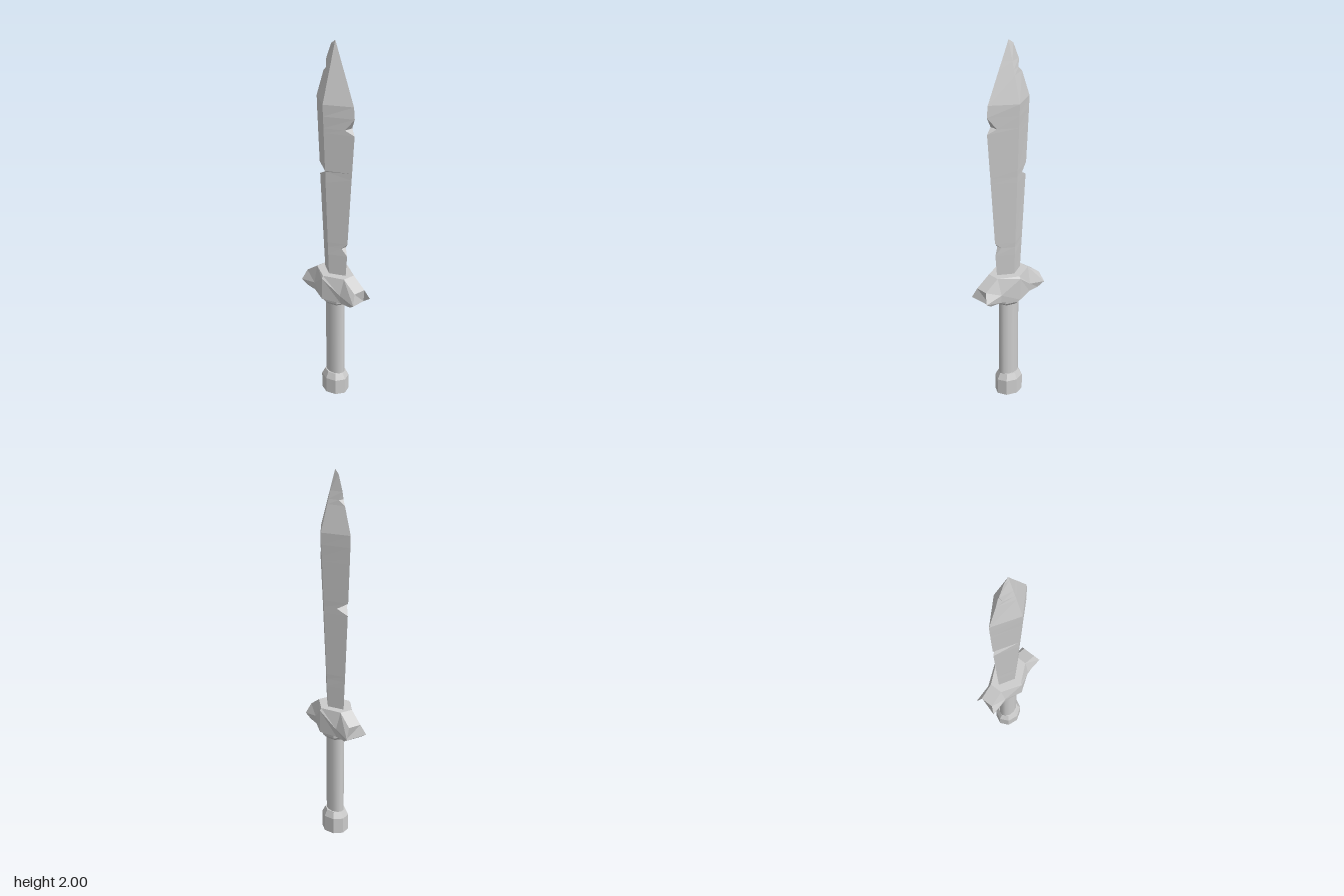
import * as THREE from 'three';

const flat = new THREE.MeshStandardMaterial({ color: 0xcccccc, flatShading: true });
const smooth = new THREE.MeshStandardMaterial({ color: 0xcccccc });

// Skins a list of rings (counter-clockwise seen from the end of the path) and caps both ends
function loft(rings) {
  const out = [];
  const area = new THREE.Triangle();
  const tri = (a, b, c) => {
    area.set(a, b, c);
    if (area.getArea() > 1e-8) for (const p of [a, b, c]) out.push(p.x, p.y, p.z);
  };
  const n = rings[0].length;
  for (let i = 0; i + 1 < rings.length; i++) {
    for (let j = 0; j < n; j++) {
      const k = (j + 1) % n;
      tri(rings[i][j], rings[i][k], rings[i + 1][k]);
      tri(rings[i][j], rings[i + 1][k], rings[i + 1][j]);
    }
  }
  const first = rings[0], last = rings[rings.length - 1];
  for (let j = 1; j + 1 < n; j++) {
    tri(first[0], first[j + 1], first[j]);
    tri(last[0], last[j], last[j + 1]);
  }
  const g = new THREE.BufferGeometry();
  g.setAttribute('position', new THREE.Float32BufferAttribute(out, 3));
  g.computeVertexNormals();
  return g;
}

// Diamond blade section; cuts pull an edge inwards and leave a flat there
function bladeRing({ y, x, front, back, cutFront = front, cutBack = back, cutBackFar = cutBack, farY = y }) {
  const flatAt = (cut, edge) => (edge > 0 ? x * (1 - cut / edge) : 0);
  const v = (px, py, pz) => new THREE.Vector3(px, py, pz);
  const f = flatAt(cutFront, front);
  return [
    v(f, y, cutFront), v(x, y, 0), v(flatAt(cutBack, back), y, -cutBack),
    v(-flatAt(cutBackFar, back), farY, -cutBackFar), v(-x, farY, 0), v(-f, y, cutFront),
  ];
}

function makeBlade() {
  return loft([
    { y: 0.74, x: 0.044, front: 0.079, back: 0.078 },
    { y: 0.77, x: 0.045, front: 0.08, back: 0.08 },
    { y: 0.885, x: 0.05, front: 0.09, back: 0.088 },
    { y: 0.927, x: 0.051, front: 0.09, back: 0.091, cutFront: 0.064 },
    { y: 0.955, x: 0.053, front: 0.092, back: 0.093 },
    { y: 1.29, x: 0.066, front: 0.117, back: 0.115 },
    { y: 1.32, x: 0.067, front: 0.119, back: 0.116, cutBack: 0.063, cutBackFar: 0.002, farY: 1.35 },
    { y: 1.355, x: 0.069, front: 0.122, back: 0.118 },
    { y: 1.555, x: 0.077, front: 0.138, back: 0.13 },
    { y: 1.58, x: 0.078, front: 0.138, back: 0.131, cutFront: 0.095 },
    { y: 1.64, x: 0.081, front: 0.138, back: 0.135 },
    { y: 1.7, x: 0.083, front: 0.132, back: 0.137 },
    { y: 1.835, x: 0.046, front: 0.073, back: 0.086 },
    { y: 1.86, x: 0.039, front: 0.062, back: 0.08, cutBack: 0.053 },
    { y: 1.9, x: 0.028, front: 0.044, back: 0.065 },
    { y: 1.98, x: 0.006, front: 0.009, back: 0.03 },
    { y: 2, x: 0, front: 0, back: 0 },
  ].map(bladeRing));
}

// Guard sections: bottom, middle and top corner as [x, y, z], mirrored in x and z
function makeGuard() {
  const end = [[0.05, 0.635, 0.165], [0.06, 0.66, 0.202], [0.035, 0.715, 0.185]];
  const shoulder = [[0.055, 0.635, 0.1], [0.06, 0.68, 0.1], [0.035, 0.77, 0.105]];
  const middle = [[0.095, 0.635, 0], [0.095, 0.757, 0], [0.087, 0.77, 0]];
  const ring = (corners, side) => [
    ...corners.map(([x, y, z]) => new THREE.Vector3(x, y, z * side)),
    ...corners.map(([x, y, z]) => new THREE.Vector3(-x, y, z * side)).reverse(),
  ];
  return loft([ring(end, -1), ring(shoulder, -1), ring(middle, 1), ring(shoulder, 1), ring(end, 1)]);
}

// Turned part with an oval section: profile gives [depth radius, y]
function turned(profile, sides, xScale) {
  const g = new THREE.LatheGeometry(profile.map(([r, y]) => new THREE.Vector2(r, y)), sides);
  return g.scale(xScale, 1, 1);
}

export function createModel() {
  const group = new THREE.Group();
  const add = (name, geometry, material = flat) => {
    const mesh = new THREE.Mesh(geometry, material);
    mesh.name = name;
    group.add(mesh);
  };
  add('blade', makeBlade());
  add('guard', makeGuard());
  add('collar', turned([[0.055, 0.59], [0.066, 0.592], [0.092, 0.612], [0.096, 0.636], [0, 0.636]], 8, 0.79));
  add('grip', turned([[0.059, 0.13], [0.059, 0.61]], 12, 0.71), smooth);
  add('pommel', turned([[0, 0], [0.079, 0.032], [0.079, 0.12], [0.06, 0.155], [0, 0.155]], 8, 0.86));
  return group;
}
